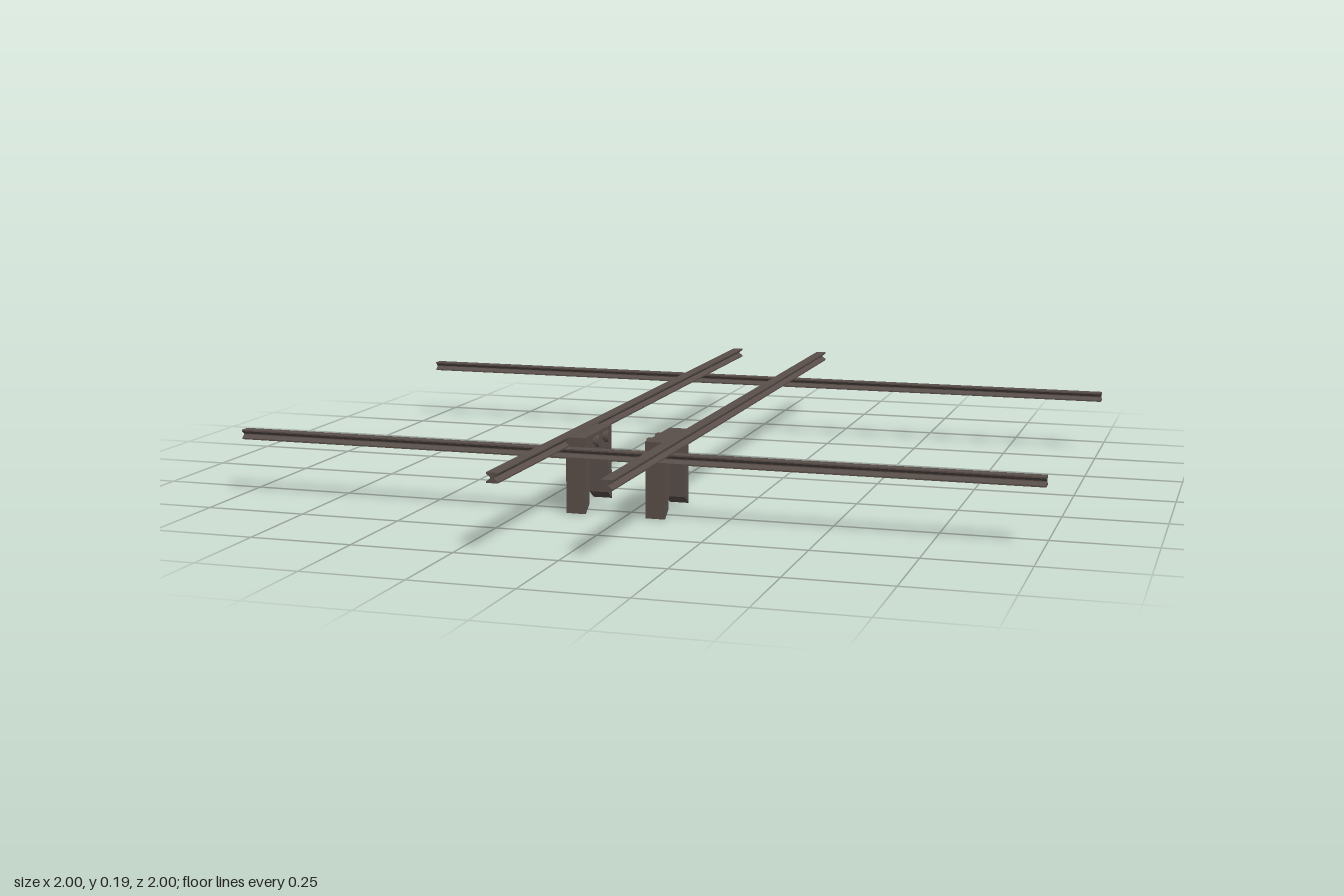
import * as THREE from 'three';

export function createModel() {
  const model = new THREE.Group();
  model.name = 'railFrame';
  const steel = new THREE.MeshStandardMaterial({ color: 0x5a4f4a });
  steel.name = 'brown grey steel';

  const polygon = (points) => new THREE.Shape(points.map(([x, y]) => new THREE.Vector2(x, y)));
  const extrude = (shape, depth) => {
    const g = new THREE.ExtrudeGeometry(shape, { depth, bevelEnabled: false });
    return g.translate(0, 0, -depth / 2);
  };
  const add = (parent, name, geometry, x, y, z) => {
    const mesh = new THREE.Mesh(geometry, steel);
    mesh.name = name;
    mesh.position.set(x, y, z);
    parent.add(mesh);
    return mesh;
  };

  // Beam with flat flanges and V-shaped side grooves
  const half = [[0.014, -0.012], [0.014, -0.0085], [0.004, -0.001], [0.004, 0.001], [0.014, 0.0085], [0.014, 0.012]];
  const section = polygon([...half, ...half.map(([x, y]) => [-x, -y])]);
  const beam = extrude(section, 2);

  // Two long rails resting on two cross rails
  for (const x of [-0.153, 0.112]) add(model, 'longRail', beam, x, 0.175, 0);
  for (const z of [-0.623, 0.566]) {
    add(model, 'crossRail', beam, 0, 0.151, z).rotation.y = Math.PI / 2;
  }

  // Arch-shaped bracket side, drawn with z along the shape's first axis
  const arch = polygon([
    [0.361, 0], [0.389, 0.02], [0.393, 0.134], [0.520, 0.134],
    [0.525, 0.02], [0.553, 0], [0.553, 0.186], [0.361, 0.186],
  ]);
  const archGeometry = extrude(arch, 0.049).rotateY(-Math.PI / 2);
  const shank = new THREE.CylinderGeometry(0.009, 0.009, 0.02, 12).rotateZ(Math.PI / 2);
  const head = new THREE.CylinderGeometry(0.016, 0.016, 0.01, 6).rotateZ(Math.PI / 2);

  // Brackets inside the long rails, with bolts facing the gap between them
  for (const [x, inward] of [[-0.1225, 1], [0.0775, -1]]) {
    const bracket = new THREE.Group();
    bracket.name = inward > 0 ? 'rightBracket' : 'leftBracket';
    bracket.position.x = x;
    add(bracket, 'legs', archGeometry, 0, 0, 0);
    for (const z of [0.42, 0.487]) {
      add(bracket, 'boltShank', shank, inward * 0.025, 0.168, z);
      add(bracket, 'boltHead', head, inward * 0.035, 0.168, z);
    }
    model.add(bracket);
  }
  return model;
}
